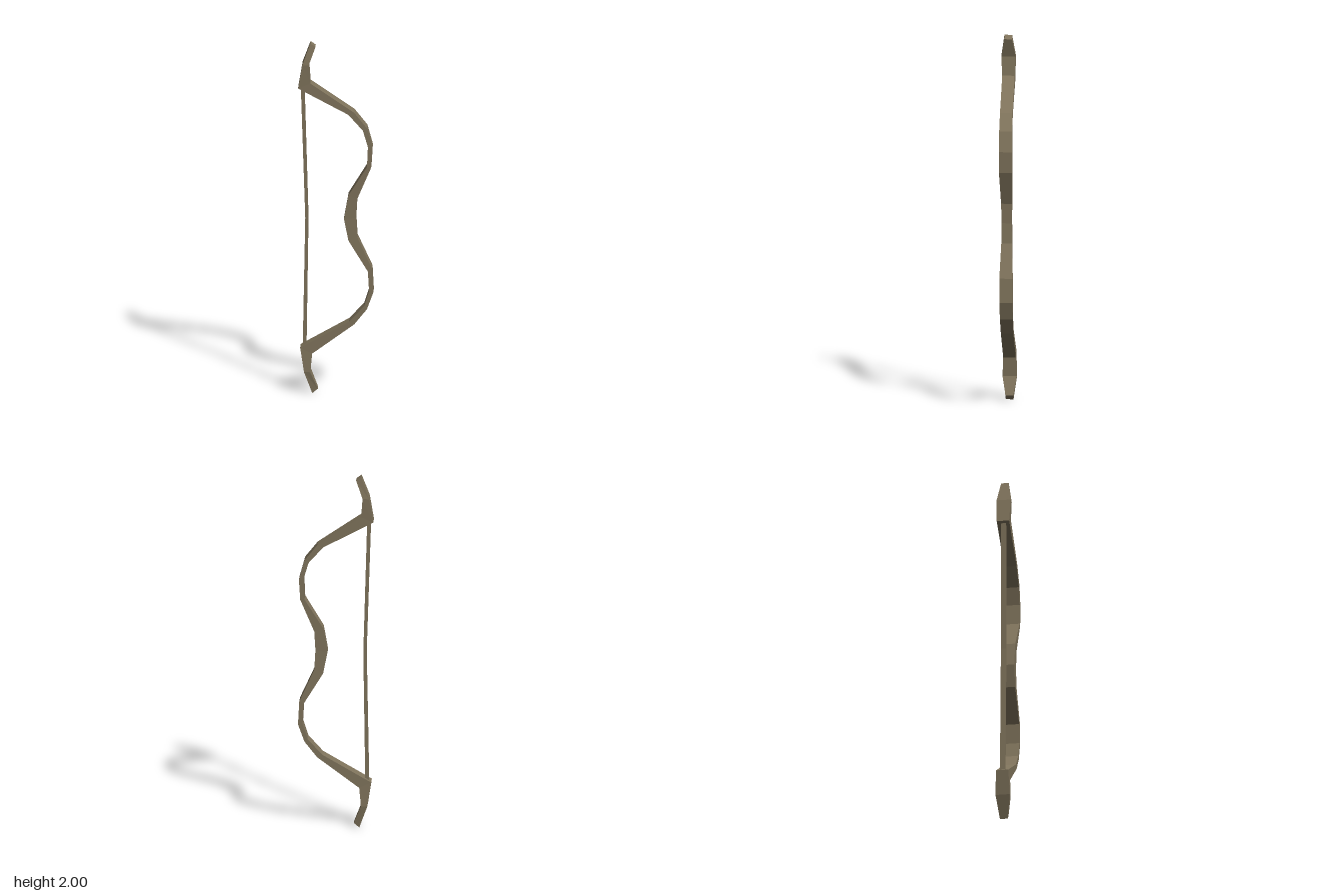
import * as THREE from 'three';

// Lofts a four-cornered section down a list of stations:
// [left x, left y, right x, right y, half depth]
function loft(name, stations, material) {
  const pos = [], index = [];
  for (const [lx, ly, rx, ry, d] of stations) {
    const lean = 0.004 * (ly - 1);
    pos.push(lx, ly, lean + d, rx, ry, lean + d, rx, ry, lean - d, lx, ly, lean - d);
  }
  const last = (stations.length - 1) * 4;
  for (let i = 0; i < last; i += 4) {
    for (let k = 0; k < 4; k++) {
      const n = (k + 1) % 4;
      const a = i + k, b = i + 4 + k, c = i + 4 + n, d = i + n;
      index.push(a, b, c, a, c, d);
    }
  }
  // end caps
  index.push(0, 1, 2, 0, 2, 3);
  index.push(last, last + 2, last + 1, last, last + 3, last + 2);
  const indexed = new THREE.BufferGeometry();
  indexed.setAttribute('position', new THREE.Float32BufferAttribute(pos, 3));
  indexed.setIndex(index);
  const geometry = indexed.toNonIndexed();
  geometry.computeVertexNormals();
  const mesh = new THREE.Mesh(geometry, material);
  mesh.name = name;
  return mesh;
}

export function createModel() {
  const group = new THREE.Group();
  group.name = 'bow';
  const wood = new THREE.MeshStandardMaterial({ color: 0x80745c });
  wood.name = 'weathered wood';

  // upper tip, upper limb, grip, lower limb, lower tip
  const stave = [
    [-0.14, 2.0, -0.112, 1.98, 0.021],
    [-0.183, 1.88, -0.148, 1.88, 0.039],
    [-0.206, 1.745, -0.14, 1.775, 0.034],
    [0.066, 1.598, 0.098, 1.61, 0.034],
    [0.145, 1.508, 0.167, 1.522, 0.035],
    [0.172, 1.415, 0.197, 1.412, 0.036],
    [0.167, 1.3, 0.19, 1.298, 0.036],
    [0.066, 1.135, 0.114, 1.115, 0.029],
    [0.042, 1.0, 0.108, 1.007, 0.027],
    [0.066, 0.877, 0.114, 0.898, 0.029],
    [0.172, 0.703, 0.195, 0.717, 0.036],
    [0.178, 0.592, 0.202, 0.586, 0.036],
    [0.15, 0.503, 0.167, 0.488, 0.035],
    [0.07, 0.415, 0.098, 0.4, 0.034],
    [-0.195, 0.262, -0.13, 0.23, 0.034],
    [-0.174, 0.125, -0.14, 0.125, 0.039],
    [-0.13, 0.0, -0.1, 0.025, 0.021],
  ];
  group.add(loft('stave', stave, wood));

  // slightly drawn string, its ends sunk into the stave
  const string = [
    [-0.192, 1.75, -0.172, 1.75, 0.014],
    [-0.168, 1.0, -0.151, 1.0, 0.014],
    [-0.182, 0.25, -0.162, 0.25, 0.014],
  ];
  group.add(loft('bowstring', string, wood));
  return group;
}
